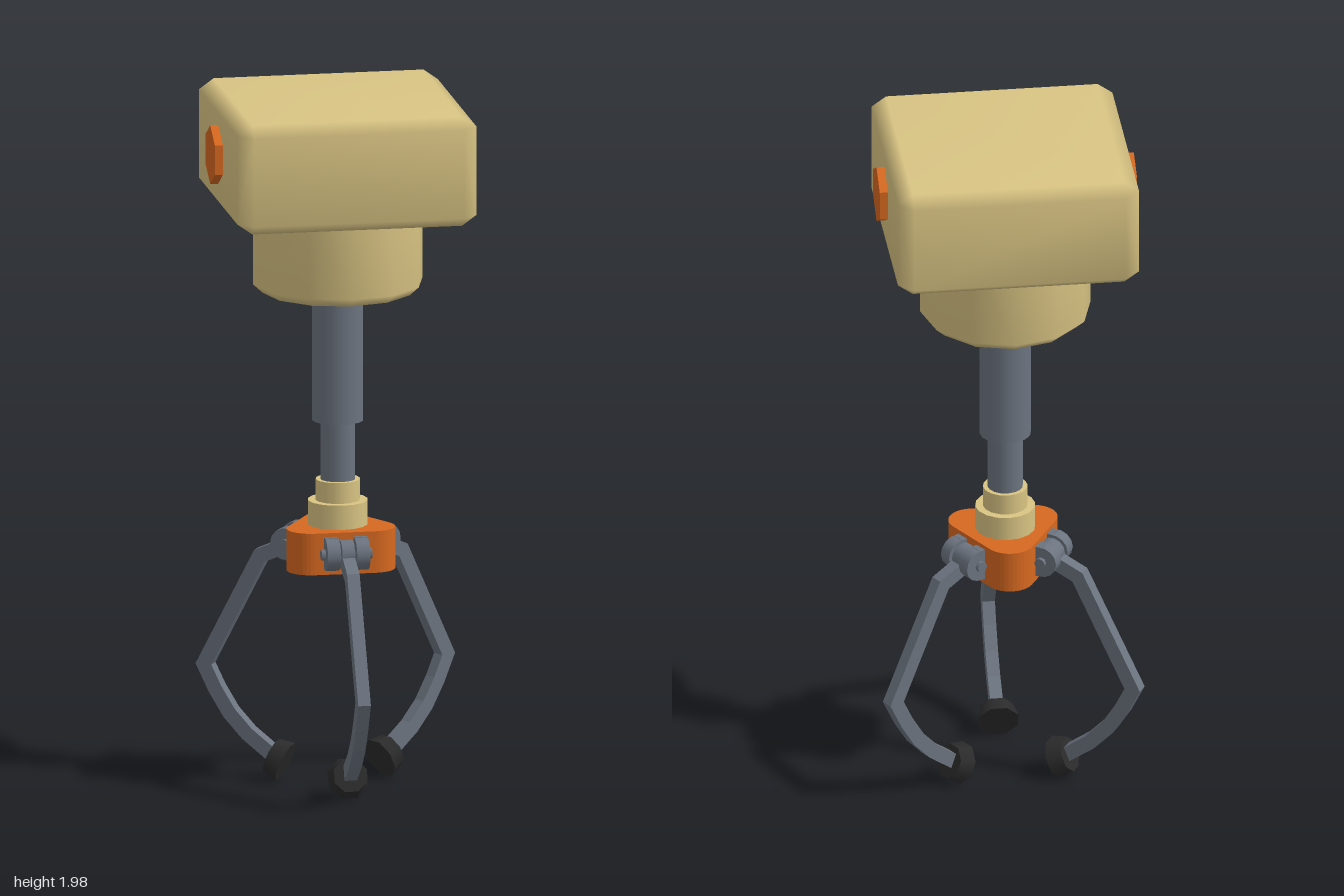
import * as THREE from 'three';
import { mergeVertices } from 'three/addons/utils/BufferGeometryUtils.js';
import { ConvexGeometry } from 'three/addons/geometries/ConvexGeometry.js';

const material = (name, color) => {
  const m = new THREE.MeshStandardMaterial({ color });
  m.name = name;
  return m;
};

// Box with every edge chamfered once and softly shaded
function chamferBox(w, h, d, b, by) {
  const pts = [];
  for (const sx of [-1, 1]) for (const sy of [-1, 1]) for (const sz of [-1, 1]) {
    const x = w / 2, y = h / 2, z = d / 2;
    pts.push(
      new THREE.Vector3(sx * x, sy * (y - by), sz * (z - b)),
      new THREE.Vector3(sx * (x - b), sy * y, sz * (z - b)),
      new THREE.Vector3(sx * (x - b), sy * (y - by), sz * z));
  }
  let g = new ConvexGeometry(pts);
  g.deleteAttribute('normal');
  g = mergeVertices(g);
  g.computeVertexNormals();
  return g;
}

// Outline of constant width around a bent centre line, with mitred corners
function stripShape(line, half) {
  const p = line.map(([x, y]) => new THREE.Vector2(x, y));
  const left = [], right = [];
  p.forEach((q, i) => {
    const a = q.clone().sub(p[Math.max(i - 1, 0)]).normalize();
    const c = p[Math.min(i + 1, p.length - 1)].clone().sub(q).normalize();
    if (i === 0) a.copy(c);
    if (i === p.length - 1) c.copy(a);
    const t = a.clone().add(c).normalize();
    const n = new THREE.Vector2(-t.y, t.x).multiplyScalar(half / t.dot(a));
    left.push(q.clone().add(n));
    right.unshift(q.clone().sub(n));
  });
  return new THREE.Shape([...left, ...right]);
}

export function createModel() {
  const tan = material('tan casing', 0xd9c483);
  const orange = material('orange accent', 0xd66820);
  const steel = material('grey steel', 0x6c7480);
  const rubber = material('black rubber', 0x2b2b2b);

  const model = new THREE.Group();
  model.name = 'clawGripper';
  const axis = new THREE.Group();
  axis.name = 'gripperAxis';
  axis.position.z = -0.0375;
  model.add(axis);

  const add = (parent, name, geometry, mat, x = 0, y = 0, z = 0) => {
    const m = new THREE.Mesh(geometry, mat);
    m.name = name;
    m.position.set(x, y, z);
    parent.add(m);
    return m;
  };
  const post = (name, r, y0, y1, mat, sides = 16) =>
    add(axis, name, new THREE.CylinderGeometry(r, r, y1 - y0, sides), mat, 0, (y0 + y1) / 2);

  // Casing and the motor drum below it
  add(axis, 'casing', chamferBox(0.684, 0.315, 0.684, 0.042, 0.03), tan, 0, 1.8425);
  const drum = [[0, 1.445], [0.215, 1.445], [0.242, 1.47], [0.242, 1.7]];
  add(axis, 'motorDrum', new THREE.LatheGeometry(drum.map(([r, y]) => new THREE.Vector2(r, y)), 12), tan);

  // Hexagonal side bolts
  for (const s of [-1, 1]) {
    const bolt = add(axis, s > 0 ? 'leftBolt' : 'rightBolt',
      new THREE.CylinderGeometry(0.085, 0.085, 0.045, 6).rotateY(Math.PI / 2).rotateZ(Math.PI / 2),
      orange, s * 0.3425, 1.85);
    bolt.geometry = bolt.geometry.toNonIndexed();
    bolt.geometry.computeVertexNormals();
    // Turn a corner of the hexagon to the top
    const pos = bolt.geometry.attributes.position;
    let top = -1;
    for (let i = 0; i < pos.count; i++) top = Math.max(top, pos.getY(i));
    if (top < 0.08) bolt.rotation.x = Math.PI / 6;
  }

  // Telescopic shaft and stepped collar
  post('upperShaft', 0.073, 1.07, 1.46, steel);
  post('lowerShaft', 0.05, 0.88, 1.08, steel);
  post('upperCollar', 0.063, 0.83, 0.9, tan);
  post('lowerCollar', 0.085, 0.76, 0.84, tan);

  // Rounded triangular hub with its flats facing the fingers
  const hub = new THREE.Shape();
  for (let i = 0; i < 3; i++) {
    const a = Math.PI / 2 + i * Math.PI * 2 / 3;
    hub.absarc(Math.cos(a) * 0.1, Math.sin(a) * 0.1, 0.068, a - Math.PI / 3, a + Math.PI / 3, false);
  }
  add(axis, 'hub', new THREE.ExtrudeGeometry(hub, { depth: 0.12, bevelEnabled: false, curveSegments: 6 })
    .rotateX(-Math.PI / 2), orange, 0, 0.65);

  // Finger parts shared by all three fingers
  const fingerLine = [[0.135, 0.703], [0.228, 0.662], [0.395, 0.337], [0.36, 0.267],
    [0.318, 0.201], [0.265, 0.145], [0.185, 0.085]];
  const fingerGeo = new THREE.ExtrudeGeometry(stripShape(fingerLine, 0.021), { depth: 0.036, bevelEnabled: false })
    .translate(0, 0, -0.018).rotateY(-Math.PI / 2);
  const disc = (r, w, n) => new THREE.CylinderGeometry(r, r, w, n).rotateZ(Math.PI / 2);
  const lugGeo = disc(0.046, 0.038, 14);
  const lugBaseGeo = new THREE.BoxGeometry(0.038, 0.092, 0.045);
  const pinGeo = disc(0.016, 0.145, 8);
  const knuckleGeo = disc(0.04, 0.036, 14);
  const padGeo = new THREE.CylinderGeometry(0.05, 0.061, 0.046, 8).rotateY(Math.PI / 8);

  ['front', 'backLeft', 'backRight'].forEach((side, i) => {
    const finger = new THREE.Group();
    finger.name = side + 'Finger';
    finger.rotation.y = i * Math.PI * 2 / 3;
    axis.add(finger);
    for (const s of [-1, 1]) {
      add(finger, 'hingeLug', lugGeo, steel, s * 0.042, 0.712, 0.135);
      add(finger, 'hingeLugBase', lugBaseGeo, steel, s * 0.042, 0.712, 0.1125);
    }
    add(finger, 'hingePin', pinGeo, steel, 0, 0.712, 0.135);
    add(finger, 'knuckle', knuckleGeo, steel, 0, 0.712, 0.135);
    add(finger, 'fingerArm', fingerGeo, steel);
    add(finger, 'gripPad', padGeo, rubber, 0, 0.077, 0.177).rotation.x = 1.17;
  });

  return model;
}
